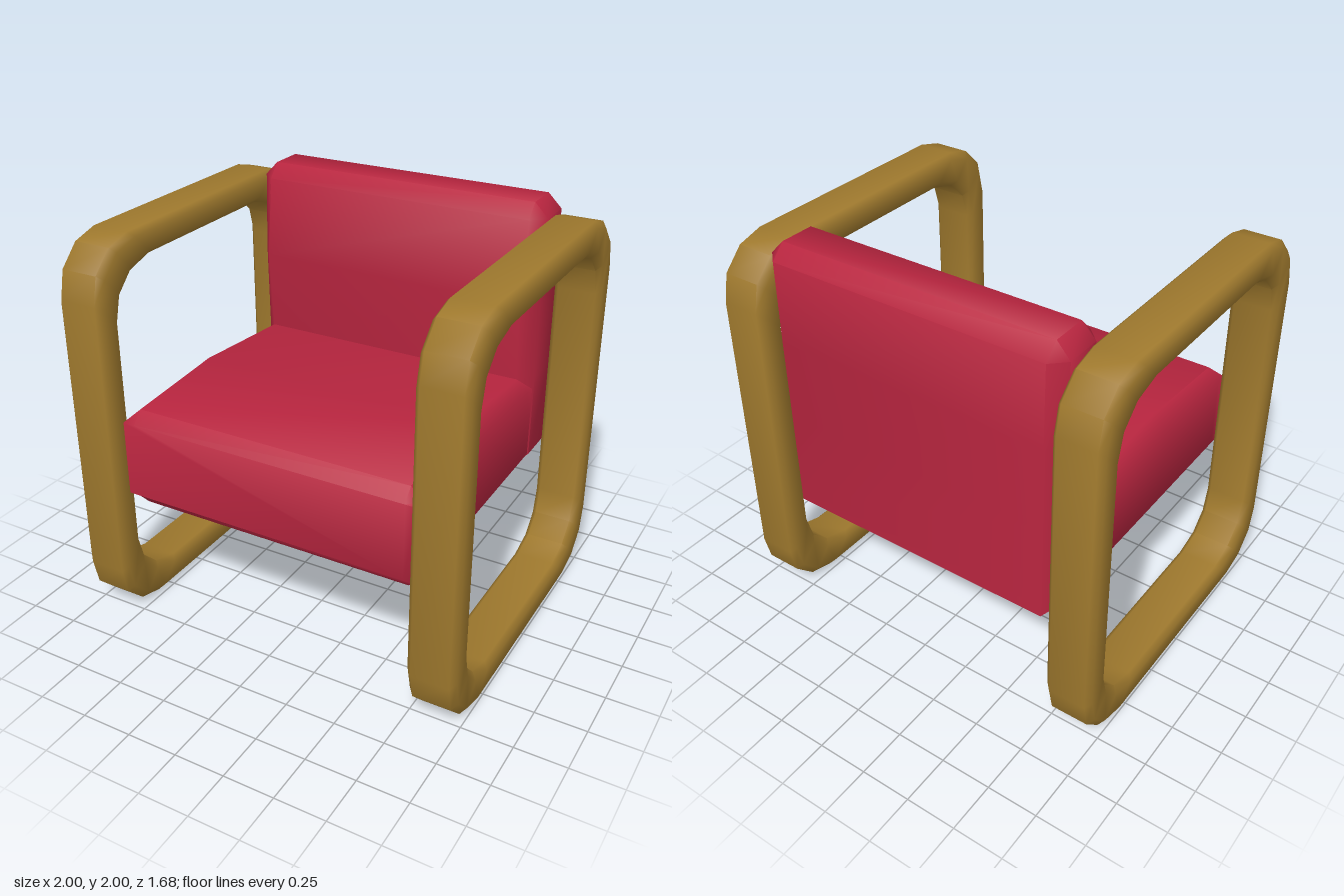
import * as THREE from 'three';
import { toCreasedNormals } from 'three/addons/utils/BufferGeometryUtils.js';

// Skin a list of cross-sections (counter-clockwise about the direction of travel)
function loft(rings, closed) {
  const n = rings[0].length;
  const index = [];
  const last = closed ? rings.length : rings.length - 1;
  for (let i = 0; i < last; i++) {
    const a = i * n, b = ((i + 1) % rings.length) * n;
    for (let j = 0; j < n; j++) {
      const k = (j + 1) % n;
      index.push(a + j, a + k, b + k, a + j, b + k, b + j);
    }
  }
  if (!closed) {
    const e = (rings.length - 1) * n;
    for (let j = 1; j < n - 1; j++) {
      index.push(0, j + 1, j, e, e + j, e + j + 1);
    }
  }
  const g = new THREE.BufferGeometry();
  g.setAttribute('position', new THREE.Float32BufferAttribute(rings.flat(2), 3));
  g.setIndex(index);
  return toCreasedNormals(g, 1.0);
}

// Rounded rectangular loop with a bevelled bar section, centred on x = 0
function frameGeometry() {
  const outer = [[0.58, 0.97], [0.71, 0.935], [0.81, 0.835], [0.84, 0.70]]; // z, y
  const inner = [[0.44, 0.83], [0.58, 0.79], [0.67, 0.70], [0.705, 0.57]];
  const h = 0.118, c = 0.025, t = 0.18;
  const section = [[c - h, 0], [h - c, 0], [h, t], [h, 1 - t],
    [h - c, 1], [c - h, 1], [-h, 1 - t], [-h, t]];
  const rings = [];
  [[1, 1], [1, -1], [-1, -1], [-1, 1]].forEach(([sz, sy], q) => {
    for (let i = 0; i < 4; i++) {
      const k = q % 2 ? 3 - i : i;
      const [oz, oy] = outer[k], [iz, iy] = inner[k];
      rings.push(section.map(([x, s]) => [
        x,
        0.97 + sy * THREE.MathUtils.lerp(iy, oy, s),
        sz * THREE.MathUtils.lerp(iz, oz, s),
      ]));
    }
  });
  return loft(rings, true);
}

// Seat cushion: bevelled sections running from back to front
function seatGeometry() {
  // z, bottom, bottom of side, top of side, top
  const stations = [
    [-0.58, 0.63, 0.69, 1.055, 1.115],
    [-0.46, 0.63, 0.69, 1.065, 1.125],
    [0.15, 0.63, 0.69, 1.10, 1.17],
    [0.70, 0.63, 0.69, 1.07, 1.13],
    [0.755, 0.69, 0.69, 1.07, 1.07],
  ];
  const w = 0.70, W = 0.762;
  return loft(stations.map(([z, b, sb, st, t]) => [
    [w, b, z], [W, sb, z], [W, st, z], [w, t, z],
    [-w, t, z], [-W, st, z], [-W, sb, z], [-w, b, z],
  ]), false);
}

// Backrest: bevelled sections running from bottom to top
function backGeometry() {
  // y, front z, front of side, back of side, back z, side x
  const stations = [
    [0.63, -0.47, -0.53, -0.785, -0.785, 0.70],
    [0.69, -0.47, -0.53, -0.72, -0.785, 0.768],
    [1.125, -0.46, -0.53, -0.72, -0.785, 0.768],
    [1.53, -0.43, -0.52, -0.72, -0.785, 0.768],
    [1.93, -0.47, -0.535, -0.715, -0.78, 0.768],
    [2.0, -0.535, -0.535, -0.71, -0.71, 0.70],
  ];
  const w = 0.70;
  return loft(stations.map(([y, f, sf, sb, b, W]) => [
    [-w, y, f], [w, y, f], [W, y, sf], [W, y, sb],
    [w, y, b], [-w, y, b], [-W, y, sb], [-W, y, sf],
  ]), false);
}

export function createModel() {
  const wood = new THREE.MeshStandardMaterial({ color: 0xa07a2e });
  wood.name = 'golden wood';
  const fabric = new THREE.MeshStandardMaterial({ color: 0xb8253f });
  fabric.name = 'red fabric';

  const group = new THREE.Group();
  group.name = 'armchair';
  const add = (name, geometry, material, x = 0) => {
    const mesh = new THREE.Mesh(geometry, material);
    mesh.name = name;
    mesh.position.x = x;
    group.add(mesh);
  };

  // Side loops serve as legs and armrests
  const frame = frameGeometry();
  add('leftFrame', frame, wood, 0.882);
  add('rightFrame', frame, wood, -0.882);

  // Upholstery
  add('seat', seatGeometry(), fabric);
  add('backrest', backGeometry(), fabric);
  return group;
}
